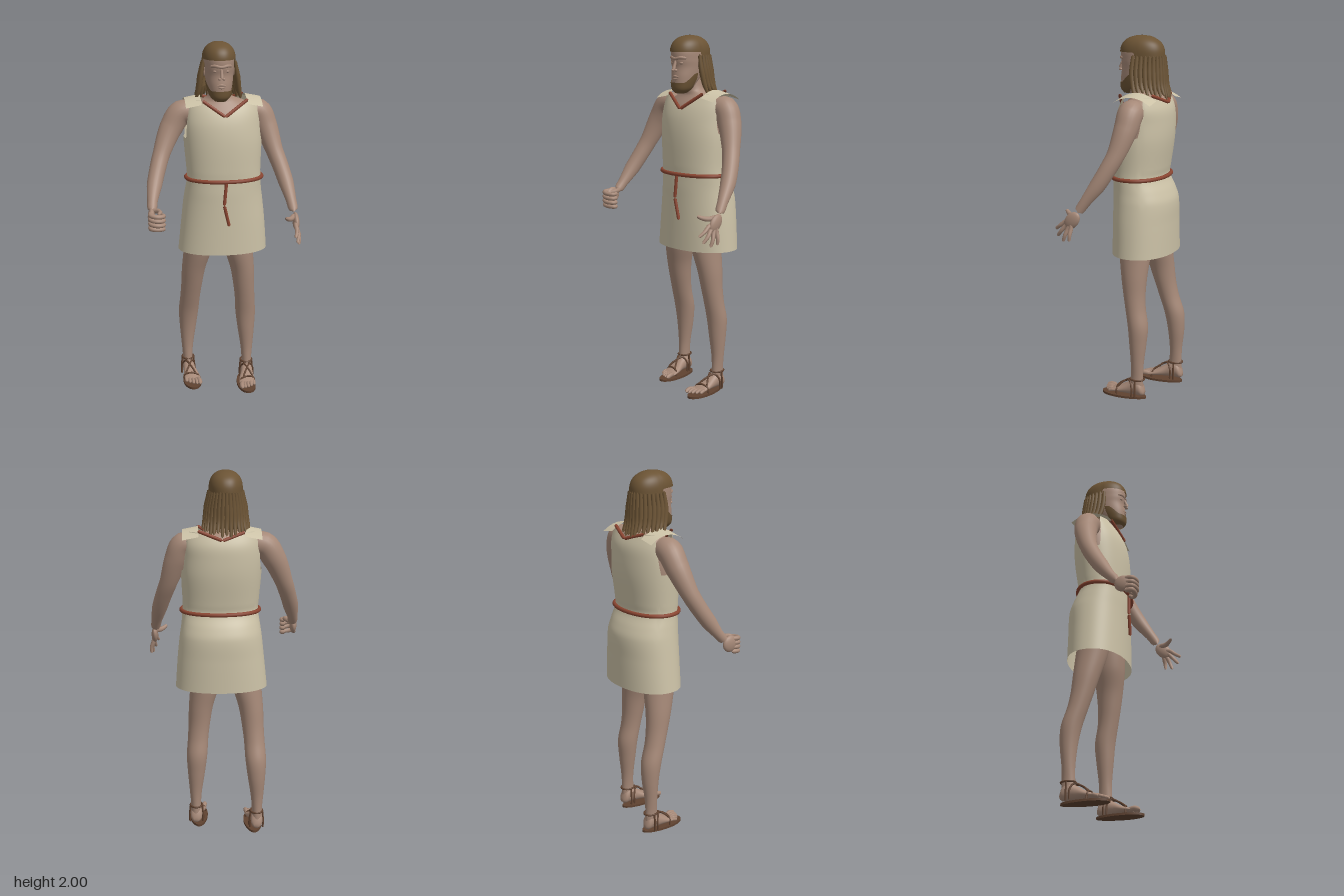
import * as THREE from 'three';

const mat = (name, color) => {
  const m = new THREE.MeshStandardMaterial({ color, side: THREE.DoubleSide });
  m.name = name;
  return m;
};
const V = (p) => new THREE.Vector3(...p);
const { clamp, lerp, smoothstep } = THREE.MathUtils;

// Smooth value of a section list at height y; a section is [y, cx, rx, zFront, zBack]
function sample(secs, y) {
  let i = 0;
  while (i < secs.length - 2 && y > secs[i + 1][0]) i++;
  const a = secs[i], b = secs[i + 1], h = b[0] - a[0], t = clamp((y - a[0]) / h, 0, 1);
  const p = secs[Math.max(i - 1, 0)], q = secs[Math.min(i + 2, secs.length - 1)];
  return [1, 2, 3, 4].map((k) => {
    const m0 = (b[k] - p[k]) / (b[0] - p[0]) * h, m1 = (q[k] - a[k]) / (q[0] - a[0]) * h;
    const d = b[k] - a[k];
    return a[k] + t * (m0 + t * (3 * d - 2 * m0 - m1 + t * (m0 + m1 - 2 * d)));
  });
}

// Point on the rounded outline at height y; angle 0 faces front, grow pushes it out
function outline(secs, y, ang, n = 2, grow = 0) {
  const [cx, rx, zf, zb] = sample(secs, y);
  const pw = (v) => Math.sign(v) * Math.abs(v) ** (2 / n);
  return [cx + (rx + grow) * pw(Math.sin(ang)), y, (zf + zb) / 2 + ((zf - zb) / 2 + grow) * pw(Math.cos(ang))];
}

// Skin over sections; bottom and top may depend on the angle
function loft(secs, { seg = 40, rows = 40, n = 2, grow = 0, bottom, top, cap = true } = {}) {
  const y0 = bottom || (() => secs[0][0]), y1 = top || (() => secs[secs.length - 1][0]);
  const pos = [], idx = [];
  for (let i = 0; i <= rows; i++) for (let j = 0; j < seg; j++) {
    const a = j / seg * Math.PI * 2;
    pos.push(...outline(secs, lerp(y0(a), y1(a), i / rows), a, n, grow));
  }
  for (let i = 0; i < rows; i++) for (let j = 0; j < seg; j++) {
    const k = (j + 1) % seg, a = i * seg + j, b = i * seg + k;
    idx.push(a, b, b + seg, a, b + seg, a + seg);
  }
  if (cap) for (const [s, r] of [[secs[0], 0], [secs[secs.length - 1], rows]]) {
    const c = pos.length / 3;
    pos.push(s[1], s[0], (s[3] + s[4]) / 2);
    for (let j = 0; j < seg; j++) {
      const a = r * seg + j, b = r * seg + (j + 1) % seg;
      idx.push(c, ...(r ? [a, b] : [b, a]));
    }
  }
  const g = new THREE.BufferGeometry();
  g.setAttribute('position', new THREE.Float32BufferAttribute(pos, 3));
  g.setIndex(idx);
  g.computeVertexNormals();
  return g;
}

// Round-ended tube of changing radius; a point is [x, y, z, radius]
function limb(pts, seg = 18, radial = 10) {
  const curve = new THREE.CatmullRomCurve3(pts.map(V3));
  const g = new THREE.TubeGeometry(curve, seg, 1, radial), pos = g.attributes.position;
  const len = curve.getLength(), v = new THREE.Vector3();
  for (let i = 0; i <= seg; i++) {
    const u = i / seg, f = curve.getUtoTmapping(u) * (pts.length - 1);
    const k = Math.min(Math.floor(f), pts.length - 2), c = curve.getPointAt(u);
    let r = lerp(pts[k][3], pts[k + 1][3], f - k);
    const e = Math.min(u, 1 - u) * len / r;
    if (e < 1) r *= Math.max(0.02, Math.sqrt(1 - (1 - e) ** 2));
    for (let j = 0; j <= radial; j++) {
      const q = i * (radial + 1) + j;
      v.fromBufferAttribute(pos, q).sub(c).multiplyScalar(r).add(c);
      pos.setXYZ(q, v.x, v.y, v.z);
    }
  }
  return g;
}
const V3 = (p) => V(p.slice(0, 3));
const ball = (c, s, rot = [0, 0, 0]) => new THREE.SphereGeometry(1, 20, 14).scale(...s)
  .rotateX(rot[0]).rotateY(rot[1]).rotateZ(rot[2]).translate(...c);

export function createModel() {
  const root = new THREE.Group();
  const skin = mat('skin', 0xa58877), cloth = mat('linen', 0xcbc1a6), trim = mat('redCord', 0x8a4531);
  const hair = mat('hair', 0x6b5334), leather = mat('sandalLeather', 0x5f4230);
  const add = (name, geo, m) => {
    const mesh = new THREE.Mesh(geo, m);
    mesh.name = name;
    root.add(mesh);
  };

  // Body and neck
  add('body', loft([[1.0, .02, .16, .03, -.2], [1.25, .025, .17, .03, -.19], [1.45, .02, .19, .045, -.22],
    [1.55, .02, .19, .035, -.225], [1.62, .02, .18, .012, -.215], [1.66, .018, .15, -.015, -.195],
    [1.685, .01, .1, -.03, -.17], [1.70, .002, .068, -.025, -.145], [1.78, -.003, .055, -.02, -.14]], { rows: 60 }), skin);

  // Tunic with V neck and armholes
  const tunic = [[.83, .022, .25, .06, -.27], [1.0, .025, .235, .06, -.27], [1.12, .025, .222, .06, -.268],
    [1.18, .025, .213, .06, -.248], [1.25, .027, .205, .058, -.215], [1.3, .025, .206, .06, -.22],
    [1.45, .022, .215, .06, -.24], [1.55, .018, .215, .05, -.242], [1.62, .02, .212, .03, -.235], [1.69, .02, .2, -.005, -.205]];
  const tunicTop = (a) => {
    const dx = Math.abs(.21 * Math.sin(a)), c = Math.cos(a);
    const neck = c > 0 ? 1.605 + dx * .65 : 1.65 + dx * .31;
    return lerp(1.48, Math.min(1.69, neck), smoothstep(Math.abs(c), .3, .52));
  };
  add('tunic', loft(tunic, { seg: 120, rows: 70, n: 2.15, top: tunicTop, cap: false }), cloth);
  for (const s of [1, -1]) {
    const g = new THREE.PlaneGeometry(.085, .22, 4, 20).rotateX(-Math.PI / 2), p = g.attributes.position;
    for (let i = 0; i < p.count; i++) {
      const x = p.getX(i), z = p.getZ(i);
      p.setY(i, 1.708 - 3.2 * z * z - .2 * (s * x + .04));
    }
    g.computeVertexNormals();
    add(s > 0 ? 'leftShoulderStrap' : 'rightShoulderStrap', g.translate(.02 + s * .167, 0, -.102), cloth);
  }

  // Belt, belt tail and neck cords
  const beltPts = Array.from({ length: 32 }, (_, i) => V(outline(tunic, 1.252, i / 16 * Math.PI, 2.15, .006)));
  add('belt', new THREE.TubeGeometry(new THREE.CatmullRomCurve3(beltPts, true), 96, .011, 10, true), trim);
  const cords = [[[.022, 1.25, .068], [.01, 1.12, .07]], [[.01, 1.12, .07], [.038, 1.0, .068]],
    [[-.1, 1.69, -.004], [.02, 1.607, .04]], [[.02, 1.607, .04], [.15, 1.695, -.004]],
    [[-.1, 1.69, -.188], [.02, 1.652, -.228]], [[.02, 1.652, -.228], [.15, 1.698, -.188]]];
  cords.forEach(([a, b], i) => add(i < 2 ? 'beltTail' : 'neckCord', limb([[...a, .009], [...b, .009]]), trim));

  // Head and face
  const head = [[1.69, -.003, .025, .035, -.02], [1.71, -.003, .048, .05, -.06], [1.74, -.003, .06, .054, -.09],
    [1.78, -.003, .07, .054, -.13], [1.83, -.003, .077, .048, -.16], [1.87, -.003, .08, .053, -.165],
    [1.93, -.003, .078, .047, -.165], [1.98, -.003, .05, .0, -.12]];
  add('head', loft(head, { n: 2.15 }), skin);
  add('nose', limb([[-.003, 1.868, .048, .007], [-.003, 1.84, .058, .009], [-.003, 1.818, .066, .013]]), skin);
  add('brow', limb([[-.06, 1.878, .022, .007], [-.035, 1.882, .043, .01], [-.003, 1.876, .05, .008], [.03, 1.882, .043, .01], [.055, 1.878, .022, .007]]), skin);
  add('upperLip', limb([[-.028, 1.776, .046, .004], [-.003, 1.782, .053, .007], [.022, 1.776, .046, .004]]), skin);
  add('lowerLip', limb([[-.025, 1.772, .046, .004], [-.003, 1.767, .053, .007], [.019, 1.772, .046, .004]]), skin);
  for (const s of [1, -1]) {
    add('eye', ball([-.003 + s * .03, 1.853, .038], [.014, .008, .009]), skin);
    add('nostril', ball([-.003 + s * .011, 1.815, .058], [.008, .007, .01]), skin);
    add('ear', ball([-.003 + s * .08, 1.845, -.06], [.008, .03, .017]), skin);
  }
  add('beard', loft(head, { n: 2.15, seg: 64, rows: 14, grow: .005, cap: false, bottom: () => 1.69,
    top: (a) => lerp(1.69, 1.748 + .05 * smoothstep(1 - Math.cos(a), .3, .9), smoothstep(Math.cos(a), -.3, .0)) }), hair);

  // Hair cap with a fringe, and hanging locks
  const cap = [[1.72, -.003, .085, .04, -.175], [1.8, -.003, .088, .05, -.187], [1.89, -.003, .09, .058, -.19],
    [1.93, -.003, .088, .056, -.186], [1.962, -.003, .076, .04, -.168], [1.985, -.003, .054, .01, -.135],
    [1.997, -.003, .026, -.03, -.1], [2.0, -.003, .003, -.06, -.066]];
  add('hairCap', loft(cap, { n: 2.15, seg: 80, rows: 50, cap: false,
    bottom: (a) => lerp(1.75, 1.912, smoothstep(Math.cos(a), -.2, .1)) }), hair);
  for (let i = 0; i < 19; i++) {
    const a = Math.PI + (i - 9) * .19, w = (i * 7 % 5) / 5, side = Math.abs(i - 9) / 9;
    const [x, , z] = outline(cap, 1.88, a), ox = Math.sin(a), oz = Math.cos(a);
    const low = 1.655 + .03 * w + .03 * side;
    add('hairLock', limb([[x * .96, 1.9, z, .009], [x + .012 * ox, 1.81, z + .005 * oz, .015],
      [x + .022 * ox, 1.74, z + .01 * oz - .012 * side, .013], [x + .034 * ox, low, z + .028 * oz - .03 * side, .007]], 20, 8), hair);
  }

  // Arms
  add('leftArm', limb([[.15, 1.61, -.1, .06], [.222, 1.608, -.102, .07], [.262, 1.53, -.092, .064], [.305, 1.4, -.055, .048],
    [.333, 1.32, -.018, .045], [.358, 1.235, .03, .042], [.376, 1.15, .09, .029], [.386, 1.09, .13, .026]], 48, 24), skin);
  add('rightArm', limb([[-.12, 1.61, -.1, .06], [-.205, 1.608, -.105, .07], [-.262, 1.53, -.098, .064], [-.318, 1.4, -.06, .048],
    [-.345, 1.32, -.02, .045], [-.368, 1.24, .03, .042], [-.384, 1.165, .085, .028], [-.39, 1.12, .125, .027]], 48, 24), skin);

  // Open left hand
  add('leftPalm', ball([.391, 1.045, .163], [.018, .055, .038], [-.75, 0, 0]), skin);
  [[[.383, 1.035, .205], [.37, .985, .272]], [[.39, 1.015, .2], [.384, .95, .255]],
    [[.396, 1.0, .185], [.4, .926, .214]], [[.4, 1.0, .165], [.41, .932, .172]]].forEach(([a, b], i) => {
    const m = a.map((v, k) => (v + b[k]) / 2 + (k ? 0 : .006));
    add('leftFinger', limb([[.391, 1.045, .165, .012], [...a, .012], [...m, .0105], [...b, .0085 - (i === 3) * .001]]), skin);
  });
  add('leftThumb', limb([[.385, 1.075, .145, .014], [.358, 1.068, .19, .014], [.335, 1.075, .215, .011], [.322, 1.085, .232, .008]]), skin);

  // Closed right hand
  add('rightPalm', ball([-.396, 1.098, .16], [.02, .046, .048]), skin);
  for (let i = 0; i < 4; i++) {
    const y = 1.125 - i * .024, d = i === 3 ? .008 : 0;
    add('rightFinger', limb([[-.4, y, .17, .013], [-.402, y - .003, .212, .013], [-.37, y - .008, .226 - d, .0125],
      [-.337, y - .01, .213 - d, .0115], [-.335, y - .01, .19, .0105], [-.355, y - .008, .18, .009]], 28), skin);
  }
  add('rightThumb', limb([[-.39, 1.125, .125, .014], [-.362, 1.128, .145, .014], [-.35, 1.128, .18, .012], [-.362, 1.125, .205, .009]]), skin);

  // Legs, feet and sandals; the right leg stands further back
  const leg = [[.05, .167, .03, -.075, -.152], [.12, .167, .028, -.078, -.15], [.2, .167, .034, -.08, -.152],
    [.32, .163, .048, -.07, -.165], [.42, .159, .057, -.06, -.172], [.52, .152, .057, -.042, -.155], [.6, .145, .06, -.027, -.15],
    [.7, .135, .067, -.01, -.155], [.83, .112, .08, .01, -.165], [1.05, .095, .085, .02, -.17]];
  for (const s of [1, -1]) {
    const side = s > 0 ? 'left' : 'right';
    const back = (y) => s > 0 ? 0 : -.09 * clamp((1.05 - y) / .7, 0, 1);
    add(side + 'Leg', loft(leg.map(([y, cx, rx, f, b]) =>
      [y, s * cx - (s < 0 ? .006 : 0), rx, f + back(y), b + back(y)]), { rows: 60 }), skin);
    const ox = s > 0 ? .165 : -.171, oz = -.115 + back(0);
    const at = (x, y, z) => [ox + s * x, y, oz + z];
    // Sections run from heel to ball of foot: [z, x, halfWidth, -bottom, -top]
    const foot = [[-.043, 0, .015, -.03, -.055], [-.03, 0, .03, -.02, -.09], [0, 0, .033, -.02, -.12], [.05, -.003, .035, -.02, -.092],
      [.1, -.01, .043, -.02, -.064], [.145, -.014, .046, -.02, -.046], [.165, -.015, .04, -.022, -.038]];
    add(side + 'Foot', loft(foot.map(([z, x, ...r]) => [z, s * x, ...r])).rotateX(Math.PI / 2).translate(ox, 0, oz), skin);
    for (let i = 0; i < 5; i++) {
      const x = -.05 + i * .0185, z = .208 - i * i * .0025, r = i ? .0095 : .0135;
      add(side + 'Toe', limb([[...at(x * .8, .032, .14), r], [...at(x, .036, z - .03), r], [...at(x, .027, z), r * .9]], 12, 10), skin);
    }
    const sole = new THREE.CylinderGeometry(1, 1, .012, 40).scale(.052, 1, .133), p = sole.attributes.position;
    for (let i = 0; i < p.count; i++) p.setX(i, p.getX(i) * (1 + p.getZ(i) * 1.2));
    add(side + 'Sole', sole.translate(...at(-.014, .006, .087)), leather);
    // Straps over the foot, up the heel and around the ankle
    const band = (pts, r = .0055) => add(side + 'Strap', limb(pts.map((q) => [...at(...q), r]), 24, 8), leather);
    band([[-.056, .012, .13], [-.045, .048, .125], [-.012, .06, .12], [.025, .05, .115], [.036, .012, .11]]);
    band([[-.04, .012, .02], [-.036, .07, .02], [-.02, .104, .04], [.005, .085, .085], [.025, .055, .115]]);
    band([[.038, .012, .02], [.036, .07, .02], [.016, .104, .04], [-.012, .085, .085], [-.035, .055, .125]]);
    band(Array.from({ length: 13 }, (_, i) => [.033 * Math.sin(i * Math.PI / 6), .115, .001 + .041 * Math.cos(i * Math.PI / 6)]));
    for (const e of [1, -1]) band([[e * .036, .01, .0], [e * .037, .06, .0], [e * .032, .115, .0]]);
  }
  return root;
}
